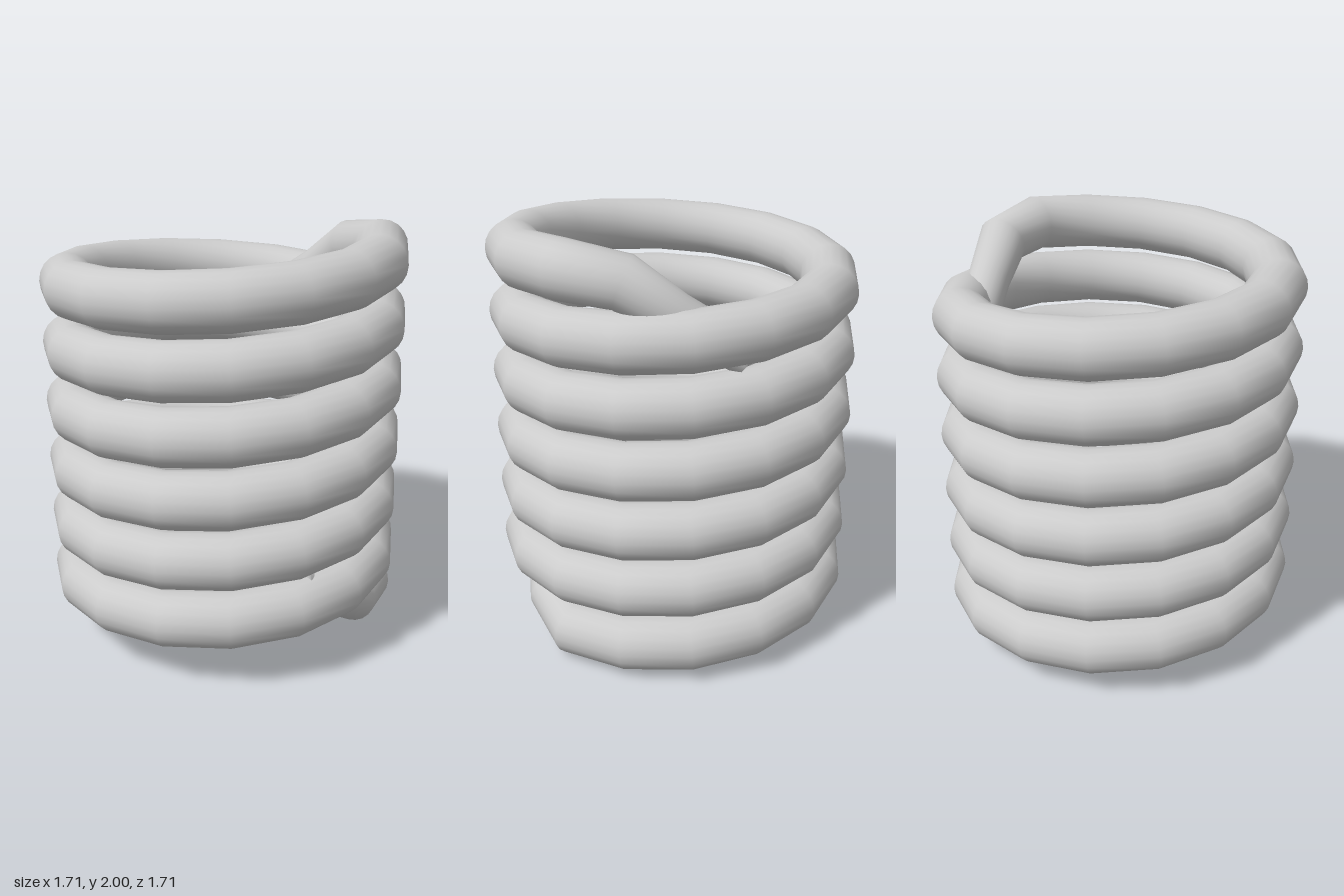
import * as THREE from 'three';

const TURNS = 6, STEPS = 16, SIDES = 20;
const RADIUS = 0.725, WIRE = 0.13, Y0 = 0.135, PITCH = 0.2893;

// Centre points and wire radii: tucked-in bottom end, coils, tucked-in top end
function coilPath() {
  const path = [
    [0.30, 0.47, 0.61, 0.09],
    [0.50, 0.29, 0.40, 0.10],
    [0.63, 0.18, 0.24, 0.12],
  ];
  for (let i = 0; i <= TURNS * STEPS; i++) {
    const a = (i / STEPS) * Math.PI * 2;
    path.push([RADIUS * Math.cos(a), Y0 + (PITCH * i) / STEPS, -RADIUS * Math.sin(a), WIRE]);
  }
  path.push(
    [0.625, 1.84, -0.25, 0.12],
    [0.49, 1.70, -0.41, 0.10],
    [0.28, 1.52, -0.62, 0.09],
  );
  return path.map(([x, y, z, r]) => ({ c: new THREE.Vector3(x, y, z), r }));
}

// Round wire swept along the path, with upright rings and smooth normals
function sweep(path) {
  const pos = [], index = [], up = new THREE.Vector3(0, 1, 0);
  const last = path.length - 1;
  path.forEach(({ c, r }, i) => {
    const before = c.clone().sub(path[Math.max(i - 1, 0)].c).normalize();
    const after = path[Math.min(i + 1, last)].c.clone().sub(c).normalize();
    const t = before.add(after).normalize();
    const side = t.clone().cross(up).normalize();
    const rise = side.clone().cross(t);
    for (let j = 0; j < SIDES; j++) {
      const a = (j / SIDES) * Math.PI * 2;
      const p = c.clone().addScaledVector(side, r * Math.cos(a)).addScaledVector(rise, r * Math.sin(a));
      pos.push(p.x, p.y, p.z);
    }
  });
  for (let i = 0; i < last; i++) {
    for (let j = 0; j < SIDES; j++) {
      const k = (j + 1) % SIDES;
      const a = i * SIDES + j, b = i * SIDES + k;
      index.push(a, a + SIDES, b, b, a + SIDES, b + SIDES);
    }
  }
  // End caps
  for (let j = 1; j < SIDES - 1; j++) {
    const e = last * SIDES;
    index.push(0, j, j + 1, e, e + j + 1, e + j);
  }
  const geo = new THREE.BufferGeometry();
  geo.setAttribute('position', new THREE.Float32BufferAttribute(pos, 3));
  geo.setIndex(index);
  geo.computeVertexNormals();
  return geo;
}

export function createModel() {
  const group = new THREE.Group();
  group.name = 'spring';
  const coil = new THREE.Mesh(sweep(coilPath()), new THREE.MeshStandardMaterial({ color: 0xcccccc }));
  coil.name = 'coil';
  group.add(coil);
  return group;
}
